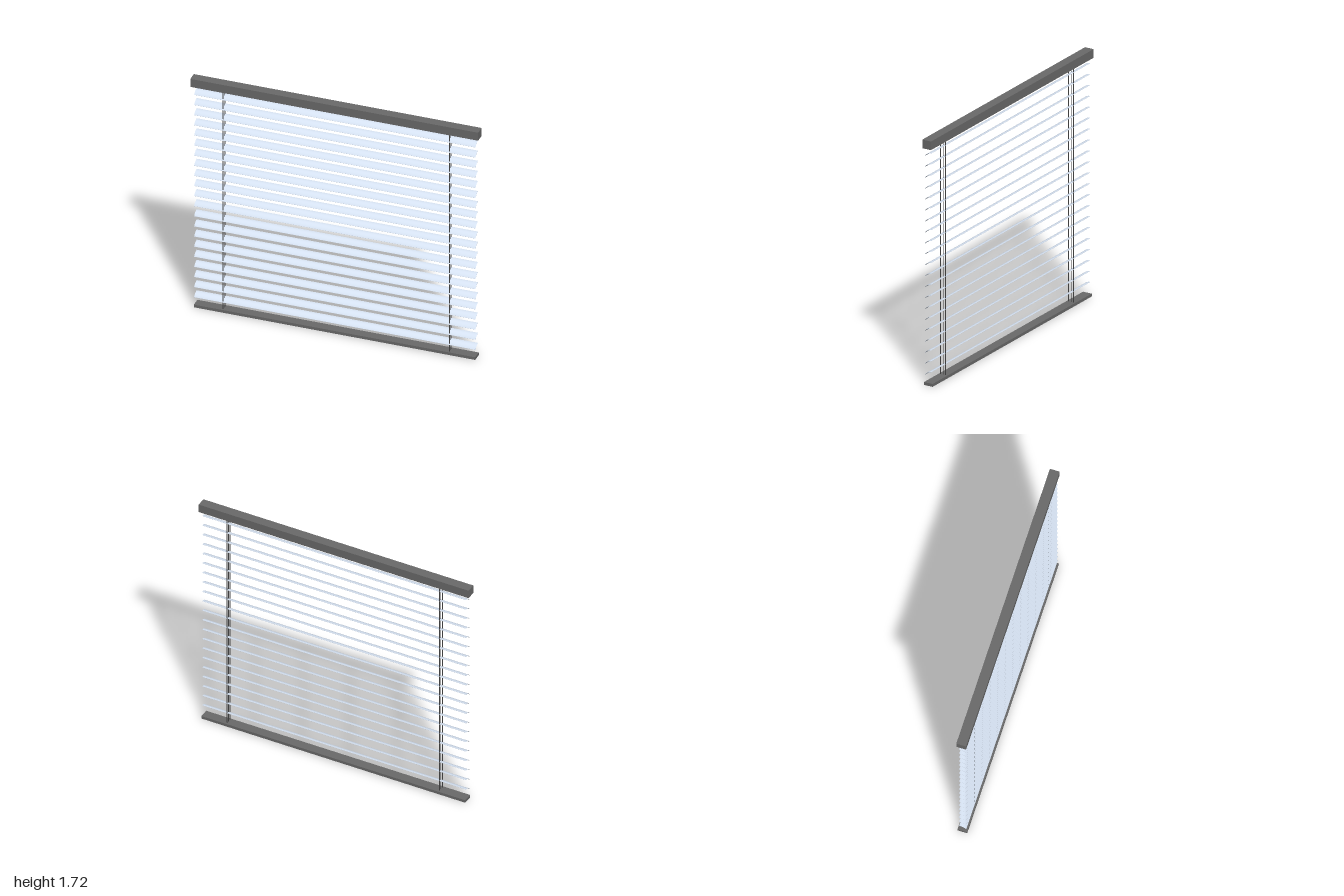
import * as THREE from 'three';

const railMat = new THREE.MeshStandardMaterial({ color: 0x6a6a6a });
const slatMat = new THREE.MeshStandardMaterial({ color: 0xd8e4f4 });
const cordMat = new THREE.MeshStandardMaterial({ color: 0x444444 });

function addBox(parent, name, size, pos, material) {
  const mesh = new THREE.Mesh(new THREE.BoxGeometry(...size), material);
  mesh.position.set(...pos);
  mesh.name = name;
  parent.add(mesh);
}

// Thin curved slat, front edge low and back edge high, crowned upwards
function slatGeometry(length) {
  const arc = new THREE.QuadraticBezierCurve(
    new THREE.Vector2(-0.027, 0), new THREE.Vector2(-0.009, 0.026), new THREE.Vector2(0.021, 0.026));
  const top = arc.getPoints(8);
  const bottom = top.map((p) => new THREE.Vector2(p.x, p.y - 0.0015)).reverse();
  const geometry = new THREE.ExtrudeGeometry(new THREE.Shape([...top, ...bottom]),
    { depth: length, bevelEnabled: false });
  geometry.translate(0, 0, -length / 2);
  geometry.rotateY(Math.PI / 2); // profile x becomes -z, length runs along x
  return geometry;
}

export function createModel() {
  const model = new THREE.Group();
  model.name = 'venetianBlind';

  // Rails
  addBox(model, 'headRail', [2, 0.06, 0.067], [0, 1.685, 0], railMat);
  addBox(model, 'bottomRail', [1.955, 0.02, 0.067], [0.002, 0.01, 0], railMat);

  // Slats
  const slats = new THREE.Group();
  slats.name = 'slats';
  const geometry = slatGeometry(1.955);
  for (let i = 0; i < 21; i++) {
    const slat = new THREE.Mesh(geometry, slatMat);
    slat.name = 'slat';
    slat.position.set(0.002, 0.073 + i * 0.0762, 0);
    slats.add(slat);
  }
  model.add(slats);

  // Ladder cords in front and behind, lift cord through the middle
  const cords = new THREE.Group();
  cords.name = 'cords';
  for (const x of [-0.777, 0.797]) {
    for (const [name, z] of [['frontCord', 0.021], ['liftCord', 0], ['backCord', -0.018]]) {
      addBox(cords, name, [0.004, 1.64, 0.003], [x, 0.838, z], cordMat);
    }
  }
  model.add(cords);
  return model;
}
